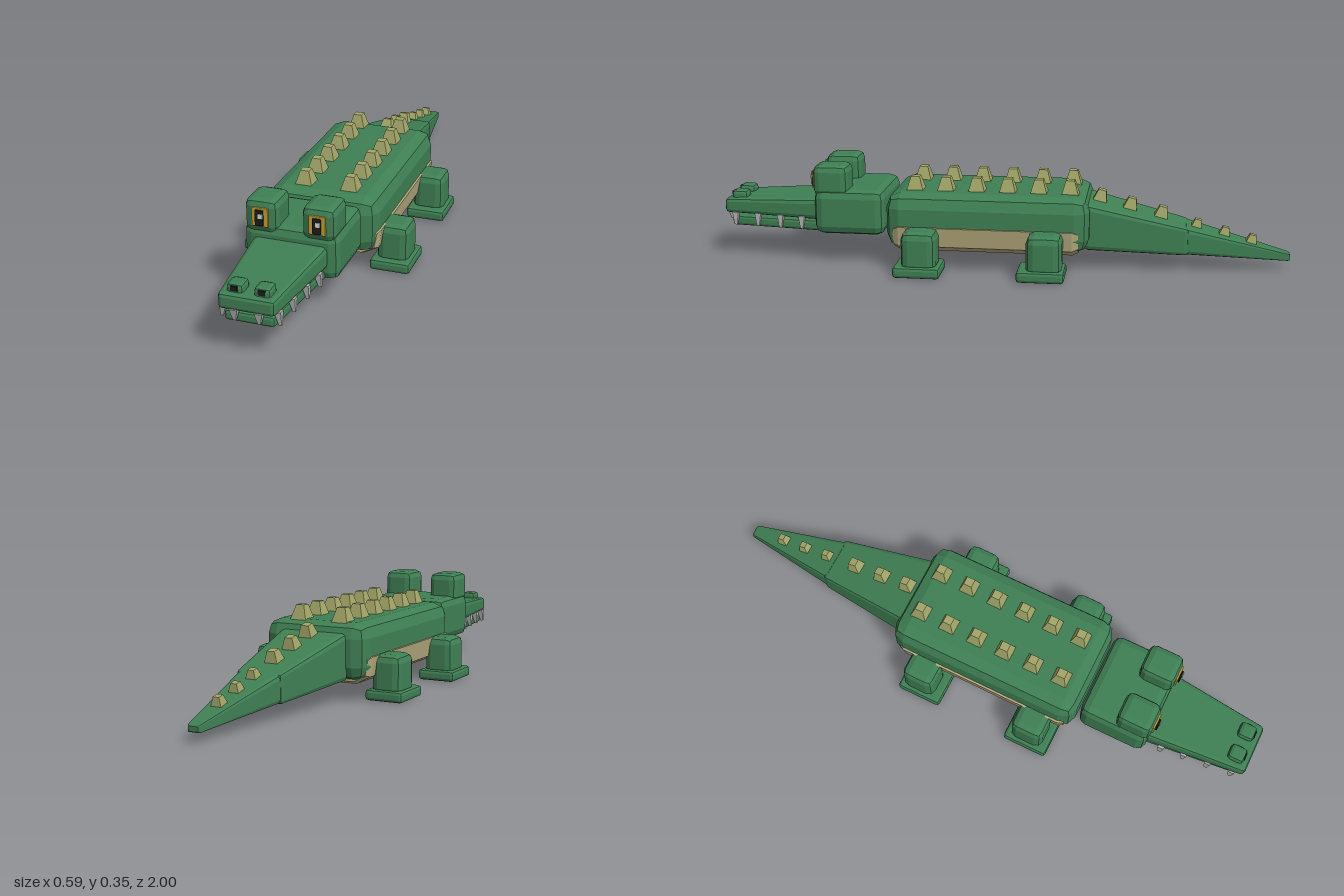
import * as THREE from 'three';
import { RoundedBoxGeometry } from 'three/addons/geometries/RoundedBoxGeometry.js';

const material = (name, color) => {
  const m = new THREE.MeshStandardMaterial({ color });
  m.name = name;
  return m;
};

// give every face its own normals for a faceted look
function facet(geometry) {
  const g = geometry.index ? geometry.toNonIndexed() : geometry;
  g.computeVertexNormals();
  return g;
}

// bevelled box given by its limits on each axis
function block([x0, x1], [y0, y1], [z0, z1], r) {
  const g = new RoundedBoxGeometry(x1 - x0, y1 - y0, z1 - z0, 1, r);
  g.translate((x0 + x1) / 2, (y0 + y1) / 2, (z0 + z1) / 2);
  return facet(g);
}

// bevelled box that tapers along z between two sections { z, w, y0, y1 }
function taperedBlock(a, b, r) {
  const w = (a.w + b.w) / 2, h = (a.y1 - a.y0 + b.y1 - b.y0) / 2, d = Math.abs(b.z - a.z);
  const g = new RoundedBoxGeometry(w, h, d, 1, r);
  const p = g.attributes.position;
  const lerp = THREE.MathUtils.lerp;
  const [back, front] = a.z < b.z ? [a, b] : [b, a];
  for (let i = 0; i < p.count; i++) {
    const t = p.getZ(i) / d + 0.5;
    p.setXYZ(i,
      p.getX(i) / w * lerp(back.w, front.w, t),
      lerp(lerp(back.y0, front.y0, t), lerp(back.y1, front.y1, t), p.getY(i) / h + 0.5),
      lerp(back.z, front.z, t));
  }
  return facet(g);
}

// four-sided frustum with its base on y = 0
function frustum(base, top, height) {
  const g = new THREE.CylinderGeometry(top / Math.SQRT2, base / Math.SQRT2, height, 4);
  g.rotateY(Math.PI / 4).translate(0, height / 2, 0);
  return facet(g);
}

export function createModel() {
  const group = new THREE.Group();
  const green = material('skin green', 0x3f8054);
  const tan = material('belly tan', 0xb9ae80);
  const olive = material('spike olive', 0xa3a768);
  const grey = material('tooth grey', 0xb4b4b4);
  const yellow = material('eye yellow', 0xc6a22c);
  const black = material('pupil black', 0x1b1b1b);
  const white = material('glint white', 0xd8d8d8);

  const add = (name, geometry, mat, parent = group) => {
    const mesh = new THREE.Mesh(geometry, mat);
    mesh.name = name;
    parent.add(mesh);
    return mesh;
  };

  // body and belly shell
  add('body', block([-0.193, 0.193], [0.07, 0.265], [-0.31, 0.393], 0.05), green);
  const section = new THREE.Shape([
    [-0.19, 0.145], [-0.18, 0.092], [-0.135, 0.068], [0.135, 0.068], [0.18, 0.092], [0.19, 0.145],
  ].map(([x, y]) => new THREE.Vector2(x, y)));
  const bellyGeometry = new THREE.ExtrudeGeometry(section, {
    depth: 0.6, bevelEnabled: true, bevelThickness: 0.02, bevelSize: 0.01, bevelSegments: 1,
  });
  bellyGeometry.translate(0, 0, -0.255);
  add('belly', facet(bellyGeometry), tan);

  // tail in two tapering lengths
  add('tailBase', taperedBlock({ z: -0.29, w: 0.256, y0: 0.072, y1: 0.236 },
    { z: -0.65, w: 0.165, y0: 0.053, y1: 0.148 }, 0.015), green);
  add('tailTip', taperedBlock({ z: -0.63, w: 0.162, y0: 0.055, y1: 0.152 },
    { z: -1, w: 0.042, y0: 0.03, y1: 0.054 }, 0.01), green);

  // head, snout and jaw
  add('head', block([-0.157, 0.157], [0.105, 0.265], [0.403, 0.652], 0.03), green);
  add('snout', taperedBlock({ z: 0.63, w: 0.25, y0: 0.148, y1: 0.224 },
    { z: 0.995, w: 0.178, y0: 0.157, y1: 0.207 }, 0.014), green);
  add('lowerJaw', taperedBlock({ z: 0.63, w: 0.23, y0: 0.106, y1: 0.144 },
    { z: 0.972, w: 0.157, y0: 0.109, y1: 0.143 }, 0.01), green);

  // paired parts
  for (const side of [-1, 1]) {
    const span = (a, b) => (side > 0 ? [a, b] : [-b, -a]);
    const label = side > 0 ? 'left' : 'right';

    // eye mound, iris, pupil and glint
    const eye = new THREE.Group();
    eye.name = label + 'Eye';
    group.add(eye);
    add('eyeMound', block(span(0.039, 0.15), [0.238, 0.35], [0.53, 0.655], 0.024), green, eye);
    add('iris', block(span(0.067, 0.121), [0.264, 0.327], [0.652, 0.661], 0.002), yellow, eye);
    add('pupil', block(span(0.08, 0.109), [0.268, 0.322], [0.659, 0.668], 0.0044), black, eye);
    const x = side * 0.0945 + 0.0055;
    add('glint', new THREE.BoxGeometry(0.015, 0.015, 0.004).translate(x, 0.303, 0.669), white, eye);

    // nostril
    add(label + 'Nostril', block(span(0.016, 0.07), [0.195, 0.234], [0.917, 0.974], 0.013), green);
    add(label + 'NostrilHole',
      new THREE.BoxGeometry(0.022, 0.016, 0.006).translate(side * 0.043, 0.22, 0.973), black);

    // front fang and side teeth, pointing down
    const fang = add(label + 'Fang', frustum(0.025, 0.009, 0.037), grey);
    fang.position.set(side * 0.039, 0.162, 0.985);
    fang.rotation.x = Math.PI;
    [0.955, 0.87, 0.785, 0.705].forEach((z, i) => {
      const tooth = add(label + 'Tooth', frustum(0.022, 0.009, 0.045), grey);
      tooth.position.set(side * (0.086 + i * 0.0095), 0.16, z);
      tooth.rotation.set(Math.PI, 0, -side * 0.13);
    });

    // legs and feet
    for (const [name, legZ, footZ] of [['Front', 0.262, 0.267], ['Back', -0.165, -0.155]]) {
      add(label + name + 'Leg',
        block(span(0.172, 0.281), [0.015, 0.156], [legZ - 0.06, legZ + 0.06], 0.026), green);
      add(label + name + 'Foot',
        block(span(0.157, 0.295), [0, 0.038], [footZ - 0.081, footZ + 0.081], 0.011), green);
    }

    // two rows of back spikes
    for (let i = 0; i < 6; i++) {
      const spike = add('backSpike', frustum(0.064, 0.03, 0.058), olive);
      spike.position.set(side * 0.079, 0.253, 0.3 - i * 0.108);
    }
  }

  // single row of tail spikes, leaning with the slope
  const tailSpikes = [
    [-0.335, 0.21, 0.056], [-0.44, 0.184, 0.056], [-0.548, 0.156, 0.056],
    [-0.672, 0.125, 0.044], [-0.768, 0.1, 0.044], [-0.862, 0.076, 0.044],
  ];
  for (const [z, y, size] of tailSpikes) {
    const spike = add('tailSpike', frustum(size, size * 0.5, size * 0.95), olive);
    spike.position.set(0, y, z);
    spike.rotation.x = -0.24;
  }

  return group;
}
